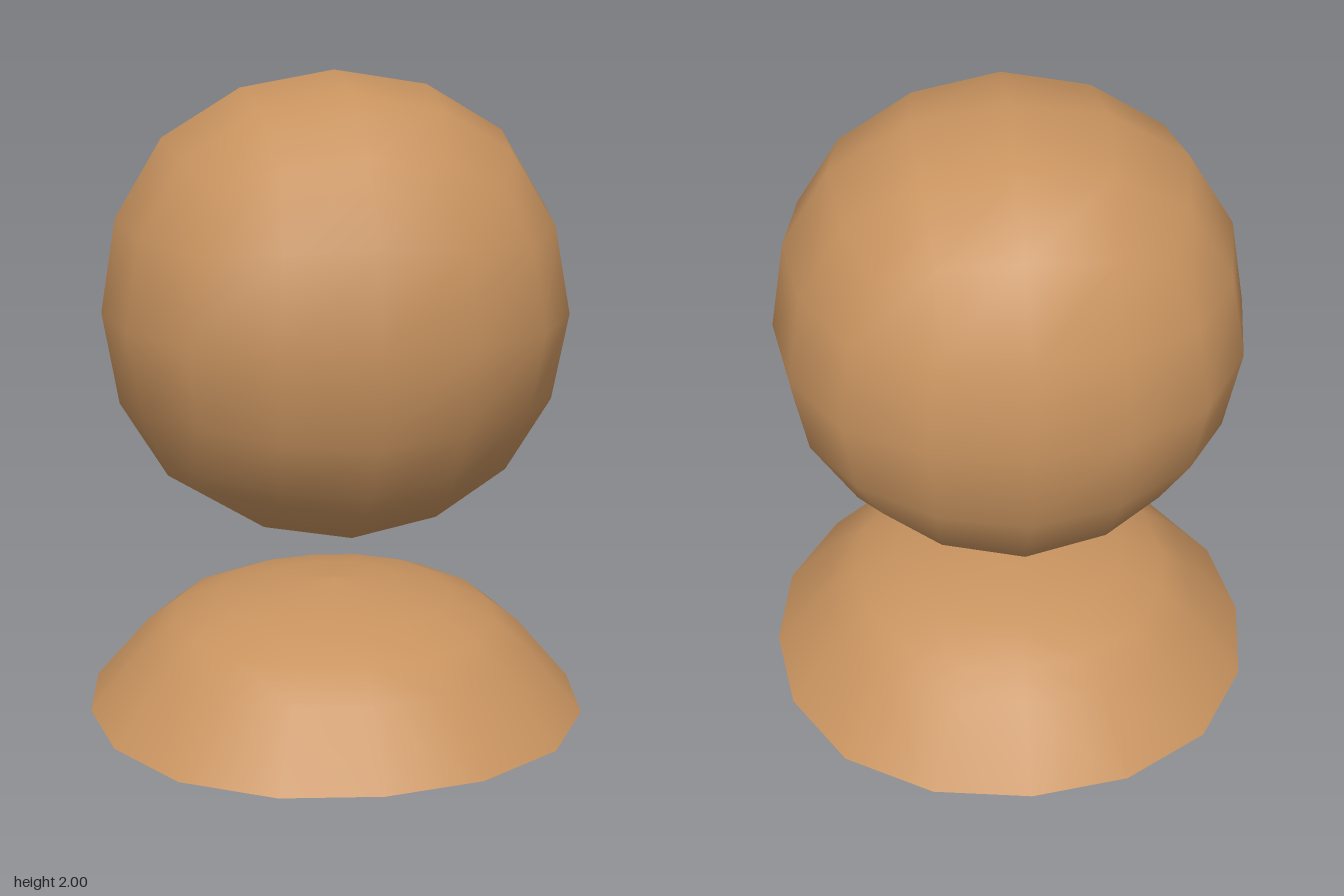
import * as THREE from 'three';
import { mergeVertices } from 'three/addons/utils/BufferGeometryUtils.js';

const material = new THREE.MeshStandardMaterial({ color: 0xc8935f });

// Rounded positions of a twice-smoothed cube, keyed by sorted lattice distances (0..2)
const ROUNDED = {
  '200': [0.8785, 0, 0],
  '210': [0.8194, 0.3507, 0],
  '220': [0.6432, 0.6432, 0],
  '211': [0.7639, 0.3264, 0.3264],
  '221': [0.599, 0.599, 0.3021],
  '222': [0.5093, 0.5093, 0.5093],
};

// Ball made from a 4 x 4 x 4 cube whose grid is rounded by the table above
function cubeBall(radius) {
  const box = new THREE.BoxGeometry(4, 4, 4, 4, 4, 4);
  box.deleteAttribute('normal');
  box.deleteAttribute('uv');
  const ball = mergeVertices(box);
  const pos = ball.attributes.position;
  const scale = radius / 0.8785;
  for (let i = 0; i < pos.count; i++) {
    const p = [pos.getX(i), pos.getY(i), pos.getZ(i)].map(Math.round);
    const order = [0, 1, 2].sort((a, b) => Math.abs(p[b]) - Math.abs(p[a]));
    const target = ROUNDED[order.map((k) => Math.abs(p[k])).join('')];
    const q = [0, 0, 0];
    order.forEach((axis, rank) => { q[axis] = Math.sign(p[axis]) * target[rank] * scale; });
    pos.setXYZ(i, ...q);
  }
  ball.computeVertexNormals();
  return ball;
}

// Sixteen-sided lathe, slightly fuller on the diagonals
function roundedLathe(profile) {
  const geo = new THREE.LatheGeometry(profile.map(([x, y]) => new THREE.Vector2(x, y)), 16);
  const pos = geo.attributes.position;
  for (let i = 0; i < pos.count; i++) {
    const x = pos.getX(i), z = pos.getZ(i);
    const f = 1 + 0.0175 * (1 - Math.cos(4 * Math.atan2(z, x)));
    pos.setXYZ(i, x * f, pos.getY(i), z * f);
  }
  return geo;
}

function addPart(group, name, geometry, y = 0) {
  const mesh = new THREE.Mesh(geometry, material);
  mesh.name = name;
  mesh.position.y = y;
  group.add(mesh);
}

export function createModel() {
  const model = new THREE.Group();
  model.name = 'bust';

  // Floating head
  addPart(model, 'head', cubeBall(0.715), 1.285);

  // Domed shoulders and their flat underside
  const dome = [[0.783, 0], [0.61, 0.205], [0.51, 0.285], [0.37, 0.345], [0.2, 0.38], [0, 0.395]];
  addPart(model, 'shoulders', roundedLathe(dome));
  addPart(model, 'underside', roundedLathe([[0, 0], [0.783, 0]]));

  return model;
}
